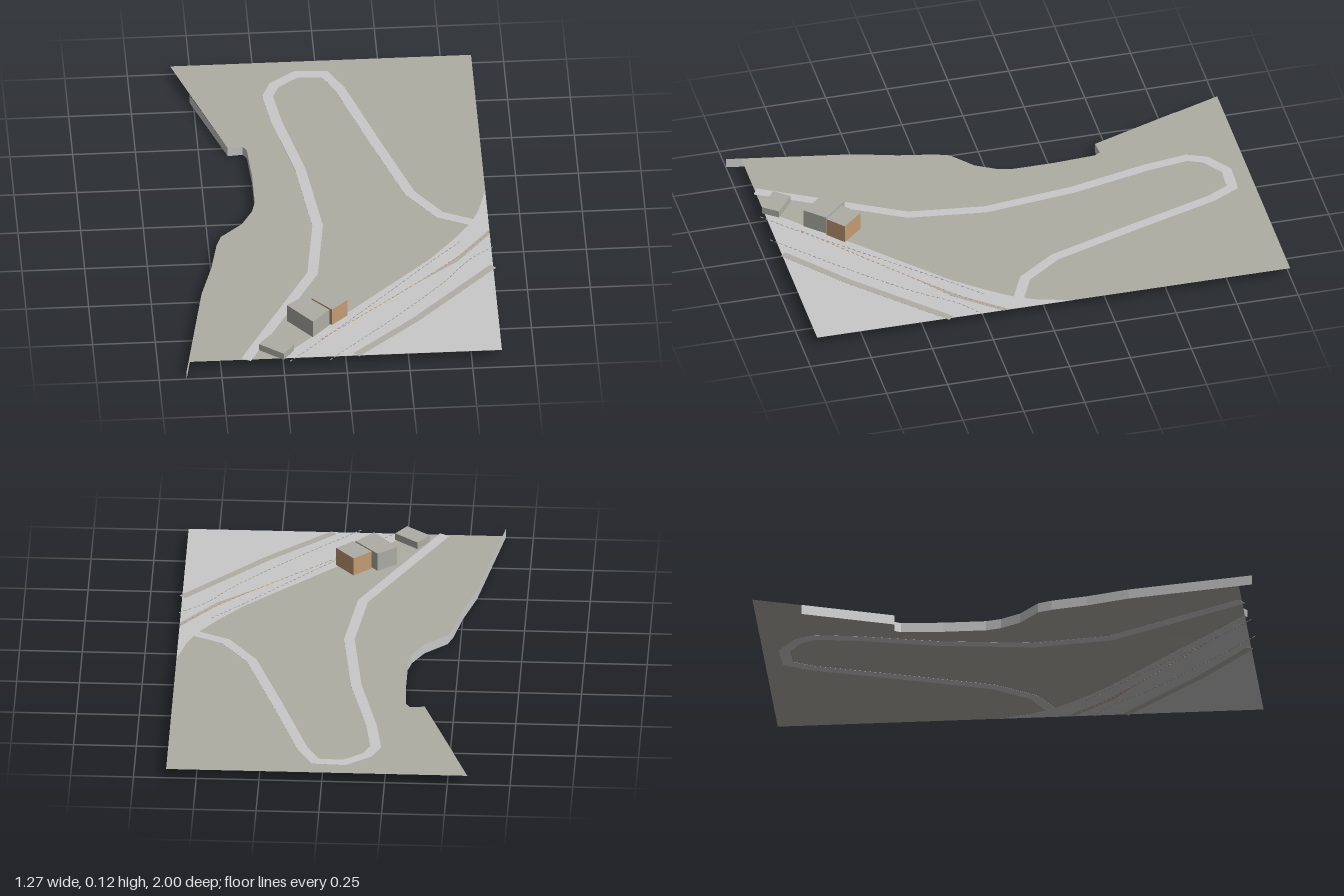
import * as THREE from 'three';
import { mergeGeometries } from 'three/addons/utils/BufferGeometryUtils.js';

const LEVEL = 0.04; // height of the ground sheet
const DS = THREE.DoubleSide;

function material(name, color, side = THREE.FrontSide) {
  const m = new THREE.MeshStandardMaterial({ color, side });
  m.name = name;
  return m;
}

// Flat outline given as [x, z] pairs
function outline(points) {
  return new THREE.Shape(points.map(([x, z]) => new THREE.Vector2(x, -z)));
}

// Thin plate lying through the ground level, seen from above and below
function plate(points, thickness) {
  const g = new THREE.ExtrudeGeometry(outline(points), { depth: thickness, bevelEnabled: false });
  g.rotateX(-Math.PI / 2);
  g.translate(0, LEVEL - thickness / 2, 0);
  return g;
}

// Outline of a mitred strip along a centre line
function strip(points, width) {
  const left = [], right = [];
  points.forEach(([x, z], i) => {
    const p = points[Math.max(i - 1, 0)], n = points[Math.min(i + 1, points.length - 1)];
    const a = new THREE.Vector2(x - p[0], z - p[1]).normalize();
    const b = new THREE.Vector2(n[0] - x, n[1] - z).normalize();
    const t = a.clone().add(b).normalize();
    const ref = i === 0 ? b : a;
    const h = width / 2 / Math.max(t.dot(ref), 0.5);
    left.push([x - t.y * h, z + t.x * h]);
    right.unshift([x + t.y * h, z - t.x * h]);
  });
  return left.concat(right);
}

// Row of short dashes along a smooth path
function dashes(points, count, width) {
  const curve = new THREE.CatmullRomCurve3(points.map(([x, z]) => new THREE.Vector3(x, LEVEL, z)));
  const step = curve.getLength() / count;
  const parts = [];
  for (let i = 0; i < count; i++) {
    const u = (i + 0.5) / count;
    const p = curve.getPointAt(u), t = curve.getTangentAt(u);
    const g = new THREE.BoxGeometry(step * 0.55, 0.003, width);
    g.rotateY(Math.atan2(-t.z, t.x));
    g.translate(p.x, p.y, p.z);
    parts.push(g);
  }
  return mergeGeometries(parts);
}

export function createModel() {
  const group = new THREE.Group();
  const ground = material('ground grey', 0xafada4, DS);
  const paving = material('paving grey', 0xc9c9c9);
  const wallGrey = material('quay wall grey', 0xc9c9c9, DS);
  const verge = material('verge grey', 0xb0aea6);
  const concrete = material('building grey', 0xaeaea6);
  const brown = material('building brown', 0xc39c74);
  const dark = material('rail grey', 0x9c9c9c);

  const add = (name, geometry, mat) => {
    const mesh = new THREE.Mesh(geometry, mat);
    mesh.name = name;
    group.add(mesh);
    return mesh;
  };

  // Waterside edge, from front to back
  const shore = [
    [-0.63, 0.94], [-0.55, 0.5], [-0.5, 0.33], [-0.47, 0.185], [-0.45, 0.13],
    [-0.36, 0.05], [-0.315, -0.03], [-0.3, -0.09], [-0.3, -0.26], [-0.31, -0.43],
    [-0.325, -0.455], [-0.385, -0.45],
  ];

  // Ground sheet
  const base = new THREE.ShapeGeometry(outline([...shore, [-0.58, -1], [0.62, -1], [0.62, 0.94]]));
  base.rotateX(-Math.PI / 2);
  base.translate(0, LEVEL, 0);
  add('ground', base, ground);

  // Quay wall: a vertical sheet hanging below the edge
  const wallLine = [[-0.641, 1], ...shore, [-0.515, -0.81]];
  const pos = [];
  for (let i = 0; i < wallLine.length - 1; i++) {
    const [ax, az] = wallLine[i], [bx, bz] = wallLine[i + 1];
    pos.push(ax, 0, az, bx, LEVEL, bz, bx, 0, bz, ax, 0, az, ax, LEVEL, az, bx, LEVEL, bz);
  }
  const wall = new THREE.BufferGeometry();
  wall.setAttribute('position', new THREE.Float32BufferAttribute(pos, 3));
  wall.computeVertexNormals();
  add('quayWall', wall, wallGrey);

  // Paved area across the front corner
  add('pavedArea', plate([
    [0.62, -0.11], [0.585, 0.02], [0.55, 0.1], [0.47, 0.21], [0.37, 0.33], [0.02, 0.66],
    [-0.12, 0.8], [-0.27, 0.94], [0.62, 0.94],
  ], 0.001), paving);

  // Loop road
  add('loopRoad', plate(strip([
    [-0.4, 0.94], [-0.1, 0.39], [-0.06, 0.08], [-0.105, -0.29], [-0.18, -0.61],
    [-0.205, -0.78], [-0.175, -0.85], [-0.085, -0.915], [0.03, -0.91], [0.085, -0.81],
    [0.2, -0.46], [0.32, -0.11], [0.43, 0.04], [0.56, 0.1],
  ], 0.042), 0.001), paving);

  // Verges between the carriageways
  add('longVerge', plate(strip([[0.04, 0.935], [0.29, 0.72], [0.48, 0.53], [0.62, 0.39]], 0.03), 0.0018), verge);
  add('shortVerge', plate([[0.3, 0.49], [0.47, 0.335], [0.62, 0.15], [0.62, 0.18], [0.48, 0.35]], 0.0018), verge);

  // Dashed rail lines
  add('innerRail', dashes([[-0.23, 0.965], [-0.1, 0.84], [0.17, 0.56], [0.37, 0.35], [0.5, 0.22]], 44, 0.003), dark);
  add('middleRail', dashes([[-0.1, 0.83], [0.19, 0.585], [0.4, 0.4], [0.54, 0.26], [0.62, 0.16]], 40, 0.004), brown);
  add('outerRail', dashes([[-0.07, 0.965], [0.22, 0.69], [0.42, 0.48], [0.53, 0.34], [0.63, 0.26]], 44, 0.003), dark);

  // Buildings with flat roofs, given by their four corners
  const building = (name, corners, height, mat) => {
    const g = new THREE.ExtrudeGeometry(outline(corners), { depth: height, bevelEnabled: false });
    g.rotateX(-Math.PI / 2);
    g.translate(0, LEVEL, 0);
    add(name, g, [concrete, mat]); // caps, then walls
  };
  building('smallShed', [[-0.297, 0.82], [-0.205, 0.89], [-0.25, 0.95], [-0.345, 0.88]], 0.03, concrete);
  building('greyBuilding', [[-0.222, 0.695], [-0.147, 0.637], [-0.055, 0.735], [-0.125, 0.81]], 0.078, concrete);
  building('brownBuilding', [[-0.122, 0.655], [-0.053, 0.595], [0.02, 0.677], [-0.045, 0.735]], 0.078, brown);

  return group;
}
